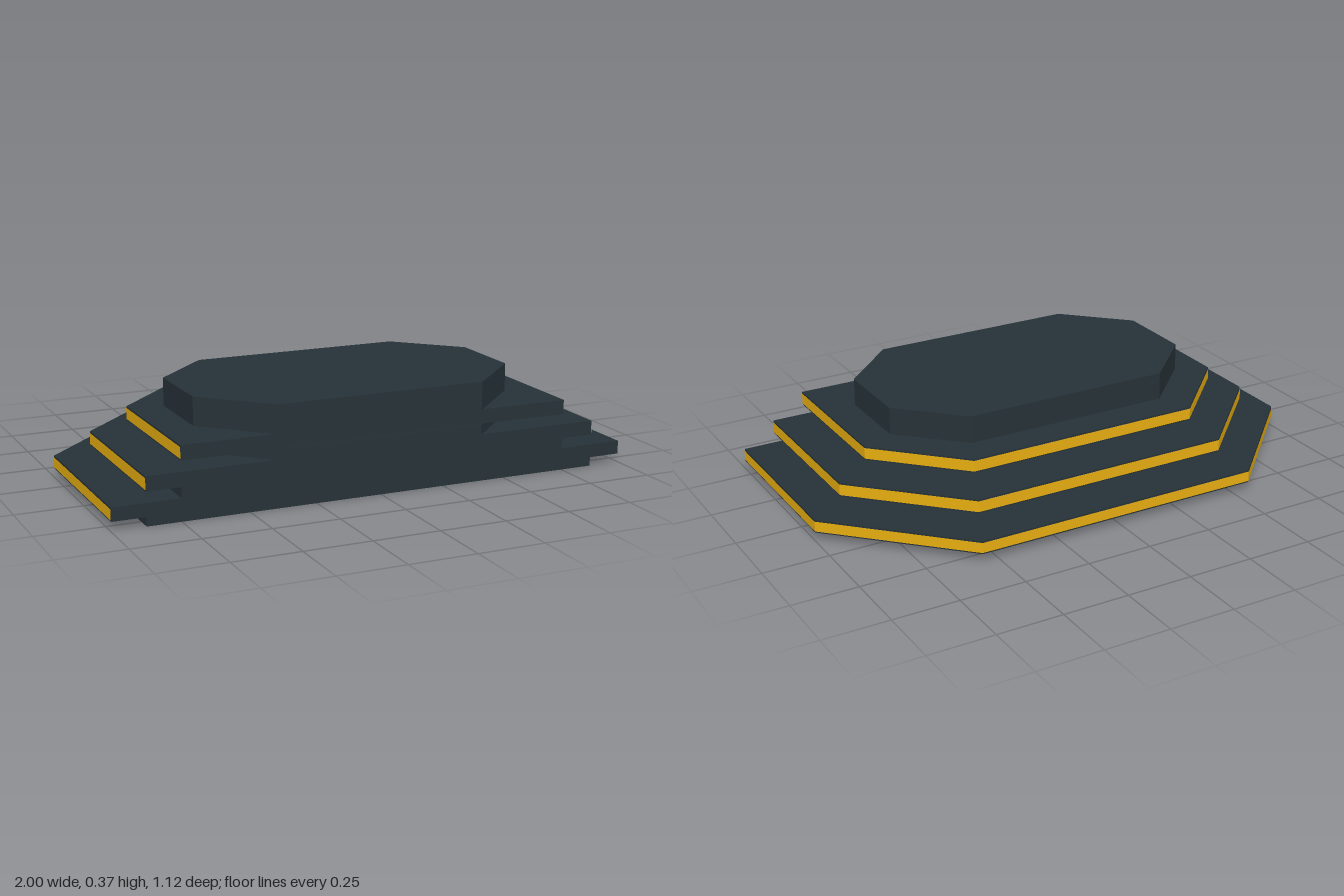
import * as THREE from 'three';

const FRONT = 0.557;

// Half-hexagon-like outline, flat at the front with cut back corners: [x, z]
function stepOutline(half, back, side, cornerX) {
  return [[half, FRONT], [half, side], [cornerX, back], [-cornerX, back], [-half, side], [-half, FRONT]];
}

// Flat slab with the given plan outline between two heights
function slab(name, outline, y0, y1, material) {
  const shape = new THREE.Shape(outline.map(([x, z]) => new THREE.Vector2(x, -z)));
  const geometry = new THREE.ExtrudeGeometry(shape, { depth: y1 - y0, bevelEnabled: false });
  geometry.rotateX(-Math.PI / 2).translate(0, y0, 0);
  const mesh = new THREE.Mesh(geometry, material);
  mesh.name = name;
  return mesh;
}

// Thin ribbon of faces along the sides and back of a step; the front stays open
function edgeBand(name, outline, y0, y1, material) {
  const positions = [];
  const grow = 1.0015;
  for (let i = 0; i < outline.length - 1; i++) {
    const [ax, az] = [outline[i][0] * grow, i === 0 ? FRONT : outline[i][1] - 0.001];
    const [bx, bz] = [outline[i + 1][0] * grow, i === outline.length - 2 ? FRONT : outline[i + 1][1] - 0.001];
    positions.push(ax, y0, az, bx, y0, bz, bx, y1, bz, ax, y0, az, bx, y1, bz, ax, y1, az);
  }
  const geometry = new THREE.BufferGeometry();
  geometry.setAttribute('position', new THREE.Float32BufferAttribute(positions, 3));
  geometry.computeVertexNormals();
  const mesh = new THREE.Mesh(geometry, material);
  mesh.name = name;
  return mesh;
}

export function createModel() {
  const group = new THREE.Group();
  group.name = 'steppedPlatform';
  const slate = new THREE.MeshStandardMaterial({ color: 0x263238 });
  slate.name = 'dark slate';
  const gold = new THREE.MeshStandardMaterial({ color: 0xf0b512, side: THREE.DoubleSide });
  gold.name = 'gold';

  const large = stepOutline(0.998, -0.561, -0.125, 0.5625);
  const medium = stepOutline(0.875, -0.4365, -0.071, 0.51);
  const small = stepOutline(0.75, -0.3125, -0.02, 0.46);
  const octagon = [
    [0.4, 0.5625], [0.625, 0.34], [0.625, 0.03], [0.405, -0.1875],
    [-0.405, -0.1875], [-0.625, 0.03], [-0.625, 0.34], [-0.4, 0.5625],
  ];

  // Recessed risers between the treads
  group.add(slab('lowerRiser', medium, 0, 0.033, slate));
  group.add(slab('middleRiser', small, 0.083, 0.122, slate));
  group.add(slab('upperRiser', octagon, 0.175, 0.215, slate));

  // Overhanging treads with gold edges
  const treads = [['lower', large, 0.033, 0.083], ['middle', medium, 0.122, 0.175], ['upper', small, 0.215, 0.268]];
  for (const [name, outline, y0, y1] of treads) {
    group.add(slab(name + 'Tread', outline, y0, y1, slate));
    group.add(edgeBand(name + 'GoldEdge', outline, y0 + 0.005, y1 - 0.006, gold));
  }

  // Eight-sided top block
  group.add(slab('topPlatform', octagon, 0.268, 0.373, slate));
  return group;
}
